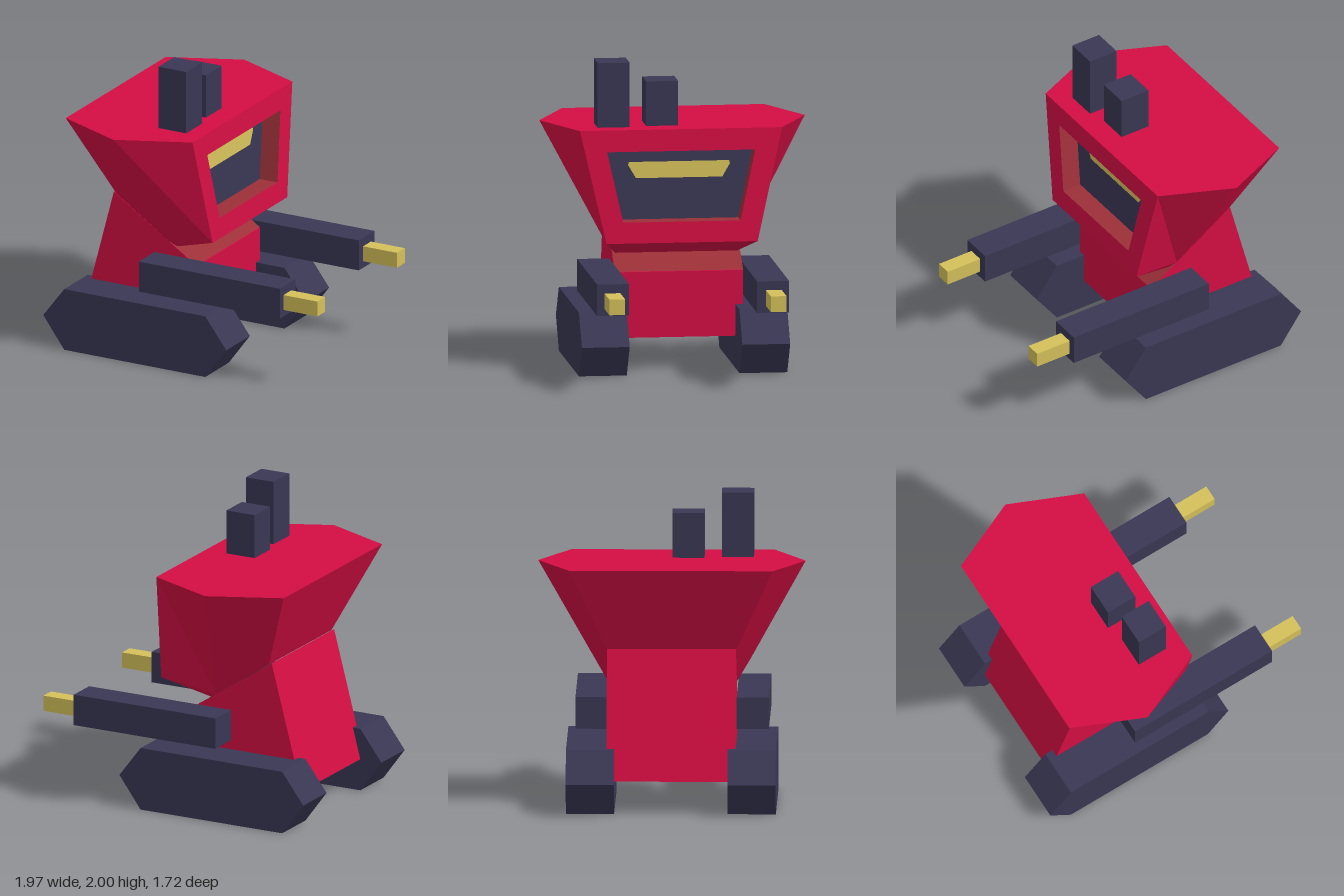
import * as THREE from 'three';

const mat = (name, color) => {
  const m = new THREE.MeshStandardMaterial({ color });
  m.name = name;
  return m;
};

// Flat convex polygons, turned away from (or towards, when inward) a reference point
function panels(polys, centre, inward = false) {
  const pos = [];
  const c = new THREE.Vector3(...centre);
  for (const poly of polys) {
    const p = poly.map((a) => new THREE.Vector3(...a));
    for (let i = 1; i < p.length - 1; i++) {
      const tri = [p[0], p[i], p[i + 1]];
      const n = tri[1].clone().sub(tri[0]).cross(tri[2].clone().sub(tri[0]));
      const out = n.dot(tri[0].clone().sub(c)) > 0;
      if (out === inward) tri.reverse();
      tri.forEach((v) => pos.push(v.x, v.y, v.z));
    }
  }
  const g = new THREE.BufferGeometry();
  g.setAttribute('position', new THREE.Float32BufferAttribute(pos, 3));
  g.computeVertexNormals();
  return g;
}

// Side profile in x, y pulled across z
function slab(points, z0, z1) {
  const shape = new THREE.Shape(points.map(([x, y]) => new THREE.Vector2(x, y)));
  const g = new THREE.ExtrudeGeometry(shape, { depth: z1 - z0, bevelEnabled: false });
  return g.translate(0, 0, z0);
}

// Box given by its limits
function block(x0, x1, y0, y1, z0, z1) {
  const g = new THREE.BoxGeometry(x1 - x0, y1 - y0, z1 - z0);
  return g.translate((x0 + x1) / 2, (y0 + y1) / 2, (z0 + z1) / 2);
}

export function createModel() {
  const red = mat('red', 0xd40e43);
  const navy = mat('navy', 0x393753);
  const gold = mat('gold', 0xd4c05a);
  const brick = mat('brick', 0x9c3038);

  const model = new THREE.Group();
  const add = (name, geometry, material) => {
    const m = new THREE.Mesh(geometry, material);
    m.name = name;
    model.add(m);
  };

  // Tracks, arms and barrels on both sides
  const track = [[-0.83, 0], [0.21, 0], [0.365, 0.21], [0.21, 0.415], [-0.83, 0.415], [-0.985, 0.21]];
  for (const [side, s] of [['front', 1], ['back', -1]]) {
    const span = (a, b) => (s > 0 ? [a, b] : [-b, -a]);
    add(side + 'Track', slab(track, ...span(0.365, 0.675)), navy);
    add(side + 'Arm', block(-0.31, 0.73, 0.475, 0.68, ...span(0.415, 0.622)), navy);
    add(side + 'Barrel', block(0.73, 0.98, 0.52, 0.622, ...span(0.472, 0.574)), gold);
  }

  // Wedge torso with a sloped top
  const w = 0.415;
  add('torso', slab([[-0.83, 0.21], [0, 0.21], [0, 0.638], [-0.61, 1.04]], -w, w), red);
  add('torsoTop', panels([[[0, 0.641, w], [0, 0.641, -w], [-0.61, 1.043, -w], [-0.61, 1.043, w]]],
    [-0.4, 0.4, 0]), brick);

  // Head corners, mirrored by s
  const P1 = (s) => [0.105, 1.58, 0.655 * s];
  const P2 = (s) => [-0.365, 1.58, 0.86 * s];
  const P3 = (s) => [-0.83, 1.58, 0.655 * s];
  const chin = (s) => [0.16, 0.85, 0.49 * s];
  const neckFront = (s) => [-0.155, 0.74, 0.395 * s];
  const neckSide = (s) => [-0.2, 0.77, 0.415 * s];
  const neckBack = (s) => [-0.59, 1.03, 0.415 * s];

  // Face opening corners on the sloping front, and the recessed copy
  const frontX = (y) => 0.105 + (1.58 - y) * 0.0753;
  const depth = 0.13;
  const rim = (y, z, d = 0) => [frontX(y) - d, y, z];
  const upper = (s, d) => rim(1.44, 0.48 * s, d);
  const lower = (s, d) => rim(0.985, 0.38 * s, d);

  const shell = [
    [P1(1), P2(1), P3(1), P3(-1), P2(-1), P1(-1)],
    [P3(1), P3(-1), neckBack(-1), neckBack(1)],
    [chin(1), chin(-1), neckFront(-1), neckFront(1)],
    [P1(1), P1(-1), upper(-1), upper(1)],
    [chin(1), chin(-1), lower(-1), lower(1)],
    [P2(1), P1(1), chin(1)], [P2(1), chin(1), neckSide(1)],
    [P1(-1), P2(-1), neckSide(-1)], [P1(-1), neckSide(-1), chin(-1)],
  ];
  for (const s of [1, -1]) {
    shell.push([P1(s), chin(s), lower(s), upper(s)]);
    shell.push([P2(s), P3(s), neckBack(s), neckSide(s)]);
    shell.push([chin(s), neckFront(s), neckSide(s)]);
  }
  add('head', panels(shell, [-0.3, 1.2, 0]), red);

  // Recess walls, face panel and visor
  const walls = [
    [upper(1), upper(-1), upper(-1, depth), upper(1, depth)],
    [lower(1), lower(-1), lower(-1, depth), lower(1, depth)],
  ];
  for (const s of [1, -1]) walls.push([upper(s), lower(s), lower(s, depth), upper(s, depth)]);
  add('faceRecess', panels(walls, [0.07, 1.2, 0], true), brick);
  add('facePanel', panels([[upper(1, depth), upper(-1, depth), lower(-1, depth), lower(1, depth)]],
    [-0.5, 1.2, 0]), navy);
  const v = depth - 0.005;
  add('visor', panels([[rim(1.355, 0.325, v), rim(1.335, 0.33, v), rim(1.25, 0.28, v),
    rim(1.25, -0.28, v), rim(1.335, -0.33, v), rim(1.355, -0.325, v)]], [-0.5, 1.2, 0]), gold);

  // Stacks on the roof
  add('tallStack', block(-0.22, -0.015, 1.5, 2, 0.318, 0.525), navy);
  add('shortStack', block(-0.255, -0.048, 1.5, 1.87, 0, 0.207), navy);

  return model;
}
